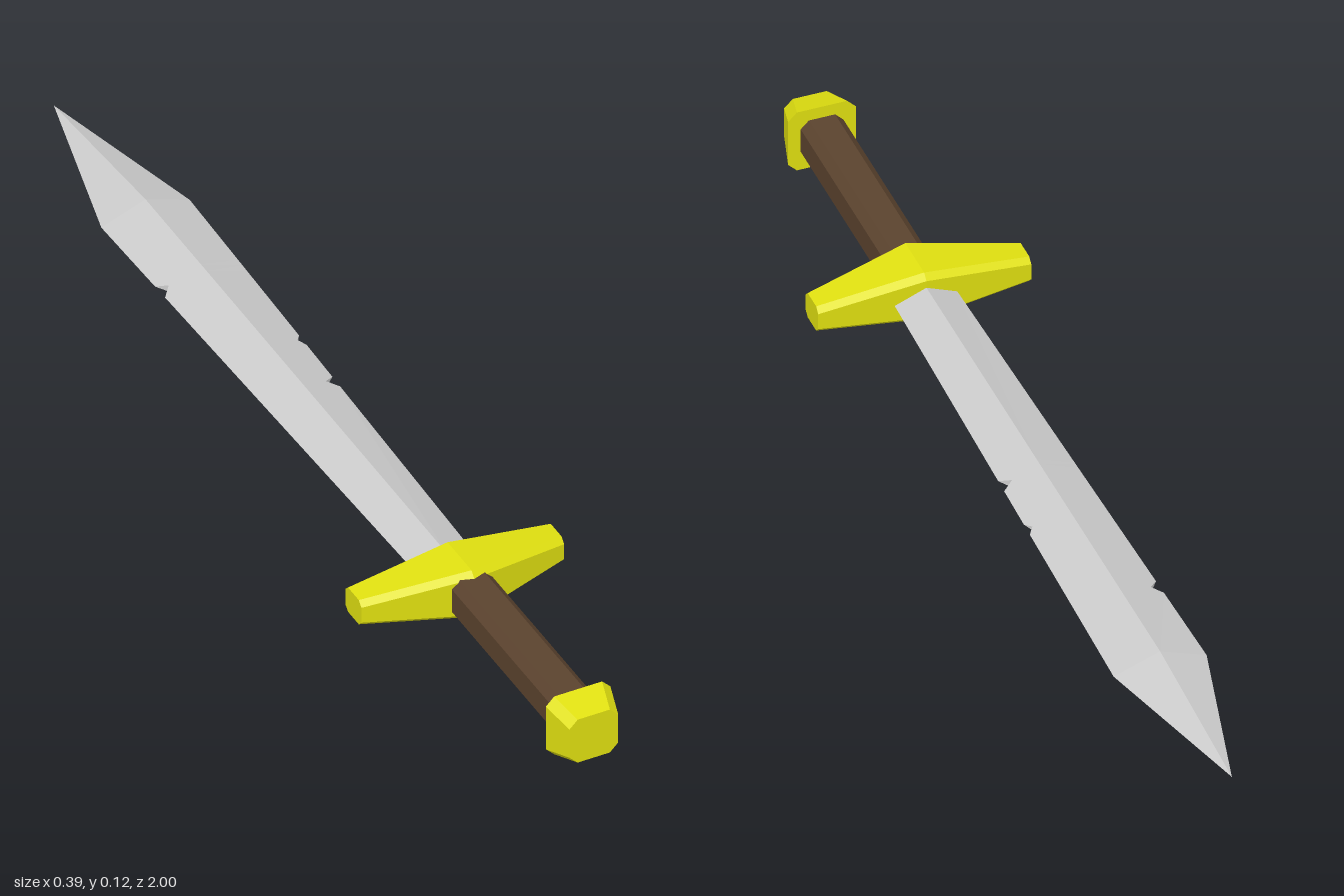
import * as THREE from 'three';

const MID = 0.063; // height of the sword's long axis

// Skin closed counter-clockwise rings of [x, y, z] points, capping both ends
function loft(rings) {
  const pos = [];
  const tri = (a, b, c) => pos.push(...a, ...b, ...c);
  const n = rings[0].length;
  for (let i = 0; i < rings.length - 1; i++) {
    for (let j = 0; j < n; j++) {
      const k = (j + 1) % n;
      const [a, b, c, d] = [rings[i][j], rings[i][k], rings[i + 1][k], rings[i + 1][j]];
      tri(a, b, c);
      tri(a, c, d);
    }
  }
  const first = rings[0], last = rings[rings.length - 1];
  for (let j = 1; j < n - 1; j++) {
    tri(first[0], first[j + 1], first[j]);
    tri(last[0], last[j], last[j + 1]);
  }
  const geo = new THREE.BufferGeometry();
  geo.setAttribute('position', new THREE.Float32BufferAttribute(pos, 3));
  geo.computeVertexNormals();
  return geo;
}

// Rectangle of half sizes w, h with cut corners
function octagon(w, h, c) {
  return [
    [w, c - h], [w, h - c], [w - c, h], [c - w, h],
    [-w, h - c], [-w, c - h], [c - w, -h], [w - c, -h],
  ];
}

const alongZ = (z, w, h, c) => octagon(w, h, c).map(([u, v]) => [u, v, z]);
const alongX = (x, h, z0, z1, c) =>
  octagon(h, (z1 - z0) / 2, c).map(([u, v]) => [x, u, v + (z0 + z1) / 2]);

// Diamond blade section; a nick cuts one edge back, leaving a small vertical wall
function bladeSection(z, nickLeft = 0, nickRight = 0) {
  const SHOULDER = -0.66, BASE = 0.46;
  const t = (BASE - z) / (BASE - SHOULDER);
  const w = THREE.MathUtils.lerp(0.057, 0.085, t);
  const h = THREE.MathUtils.lerp(0.025, 0.031, t);
  const yl = (h * nickLeft) / w, yr = (h * nickRight) / w;
  return [
    [w - nickRight, -yr, z], [w - nickRight, yr, z], [0, h, z],
    [nickLeft - w, yl, z], [nickLeft - w, -yl, z], [0, -h, z],
  ];
}

export function createModel() {
  const sword = new THREE.Group();
  sword.name = 'sword';
  const material = (color) => new THREE.MeshStandardMaterial({ color, flatShading: true });
  const gold = material(0xe0e010);
  const wood = material(0x5b432e);
  const steel = material(0xcccccc);

  const add = (name, rings, mat) => {
    const mesh = new THREE.Mesh(loft(rings), mat);
    mesh.name = name;
    mesh.position.y = MID;
    sword.add(mesh);
  };

  // Pommel, flaring towards the grip
  add('pommel', [alongZ(0.942, 0.062, 0.062, 0.016), alongZ(1, 0.047, 0.046, 0.016)], gold);

  // Eight-sided grip
  add('grip', [alongZ(0.53, 0.039, 0.039, 0.015), alongZ(0.95, 0.039, 0.039, 0.015)], wood);

  // Crossguard, thickest in the middle
  add('crossguard', [
    alongX(-0.195, 0.026, 0.455, 0.515, 0.01),
    alongX(0, 0.05, 0.447, 0.558, 0.011),
    alongX(0.195, 0.026, 0.455, 0.515, 0.01),
  ], gold);

  // Blade from tip to guard, with three nicks in its edges
  add('blade', [
    Array.from({ length: 6 }, () => [0, 0.003, -1]),
    bladeSection(-0.66),
    bladeSection(-0.47),
    bladeSection(-0.455, 0.018, 0),
    bladeSection(-0.435),
    bladeSection(-0.235),
    bladeSection(-0.22, 0, 0.01),
    bladeSection(-0.205),
    bladeSection(-0.105),
    bladeSection(-0.09, 0, 0.02),
    bladeSection(-0.075),
    bladeSection(0.46),
  ], steel);

  return sword;
}
